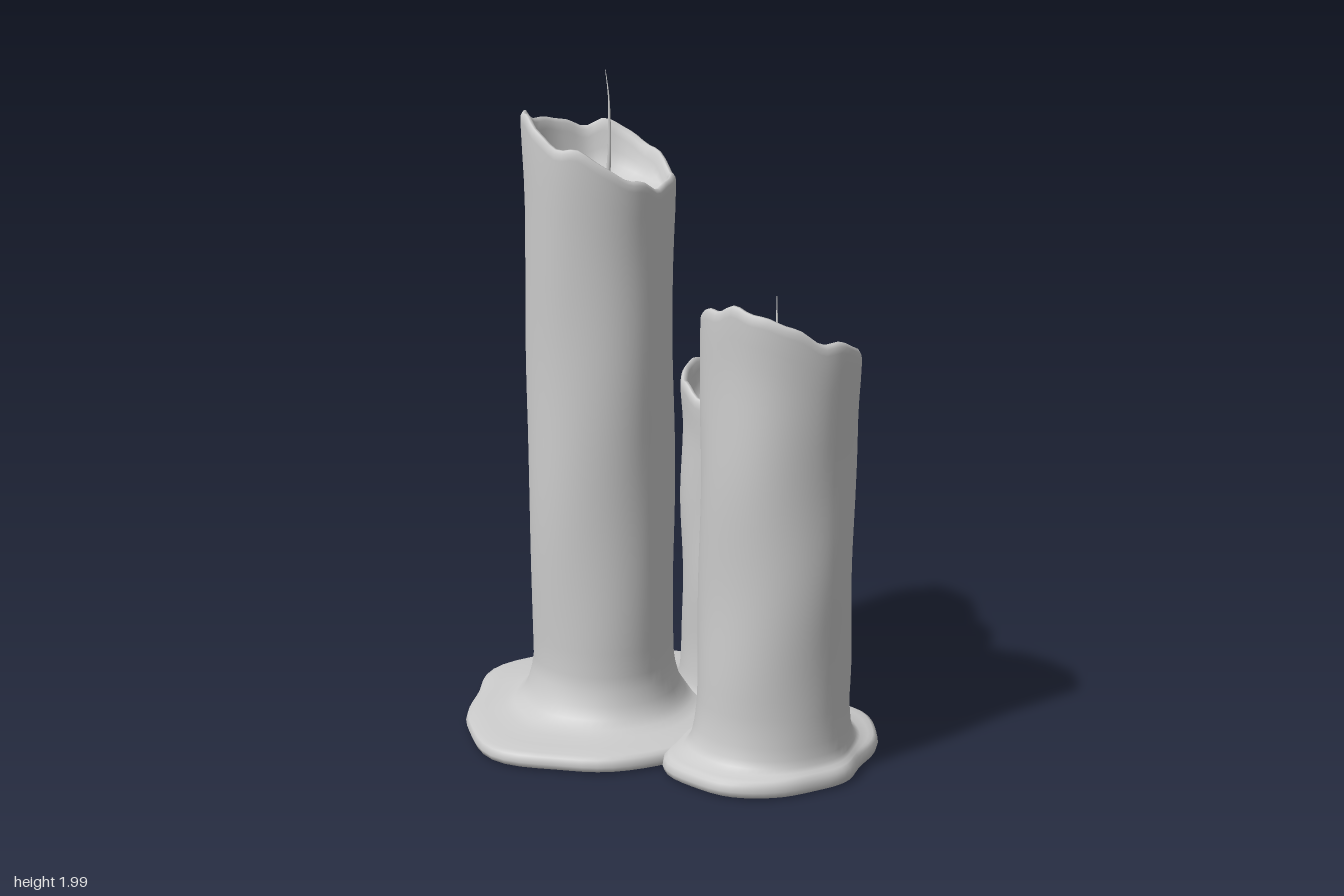
import * as THREE from 'three';

const SEG = 60;
const material = new THREE.MeshStandardMaterial({ color: 0xcccccc, side: THREE.DoubleSide });
const { lerp, smoothstep } = THREE.MathUtils;

// Smooth closed interpolation of 12 values given every 30 degrees
function around(values, angle) {
  const n = values.length;
  const t = (angle / (Math.PI * 2)) * n;
  const i = Math.floor(t), f = t - i;
  const v = k => values[(i + k + n) % n];
  return v(0) + 0.5 * f * (v(1) - v(-1) + f * (2 * v(-1) - 5 * v(0) + 4 * v(1) - v(2)
    + f * (3 * (v(0) - v(1)) + v(2) - v(-1))));
}

// Wax body: underside, puddle, flared foot, wavy wall, rolled rim and bowl as one skin of rings
function waxGeometry({ foot, top, radius, height, puddle, rim, floor, phase }) {
  const rings = [];
  const wall = (a, k) => radius * (1
    + 0.018 * Math.sin(3 * a + 5 * k + phase) * Math.sin(7 * k + phase)
    + 0.012 * Math.sin(2 * a - 9 * k + phase * 2)
    + 0.012 * Math.sin(5 * a + phase) * k);
  const edge = a => around(puddle, a) * (1 + 0.008 * Math.sin(9 * a + phase));
  const lip = a => around(rim, a) + 0.006 * Math.sin(8 * a + phase) + 0.004 * Math.sin(13 * a);

  // underside and puddle edge: [share of the puddle radius, height]
  for (const [s, y] of [[0, 0.008], [0.5, 0.008], [0.95, 0.008], [0.95, 0.008], [0.985, 0.014], [1, 0.03], [0.985, 0.05], [0.95, 0.057]])
    rings.push(a => [edge(a) * s, y]);
  // slope from puddle to foot: [blend towards the puddle edge, height]
  for (const [s, y] of [[0.7, 0.062], [0.45, 0.068], [0.3, 0.08], [0.18, 0.1], [0.09, 0.135], [0.03, 0.18]])
    rings.push(a => [lerp(wall(a, 0), edge(a), s), y]);
  // wall
  for (let i = 0; i <= 20; i++) {
    const k = i / 20;
    rings.push(a => [wall(a, k) * (1 + 0.02 * smoothstep(k, 0.85, 1)), lerp(0.22, lip(a) - 0.03, k)]);
  }
  // rolled rim: [share of the wall radius, drop below the lip]
  for (const [s, d] of [[1.015, 0.012], [0.985, 0.001], [0.95, 0], [0.915, 0.012], [0.885, 0.035]])
    rings.push(a => [wall(a, 1) * s, lip(a) - d]);
  // bowl: [share of the wall radius, share of the way down to the floor]
  for (const [s, d] of [[0.85, 0.3], [0.79, 0.55], [0.68, 0.78], [0.52, 0.92], [0.3, 0.99], [0, 1]])
    rings.push(a => [wall(a, 1) * s, lerp(lip(a) - 0.035, floor, d)]);

  const position = [], index = [];
  rings.forEach((ring, i) => {
    for (let j = 0; j < SEG; j++) {
      const a = (j / SEG) * Math.PI * 2;
      const [r, y] = ring(a);
      const k = Math.min(1, y / height);
      position.push(lerp(foot[0], top[0], k) + r * Math.cos(a), y, lerp(foot[1], top[1], k) + r * Math.sin(a));
      if (i === rings.length - 1) continue;
      const b = i * SEG + j, c = i * SEG + (j + 1) % SEG;
      index.push(b, b + SEG, c, c, b + SEG, c + SEG);
    }
  });
  const geometry = new THREE.BufferGeometry();
  geometry.setAttribute('position', new THREE.Float32BufferAttribute(position, 3));
  geometry.setIndex(index);
  geometry.computeVertexNormals();
  return geometry;
}

// Wick: a tube that tapers towards its tip
function wickGeometry(points) {
  const curve = new THREE.CatmullRomCurve3(points.map(p => new THREE.Vector3(...p)));
  const rows = 16, sides = 8;
  const geometry = new THREE.TubeGeometry(curve, rows, 0.008, sides);
  const pos = geometry.attributes.position, v = new THREE.Vector3();
  for (let i = 0; i < pos.count; i++) {
    const t = Math.floor(i / (sides + 1)) / rows;
    v.fromBufferAttribute(pos, i).lerp(curve.getPointAt(t), 0.9 * t);
    pos.setXYZ(i, v.x, v.y, v.z);
  }
  geometry.computeVertexNormals();
  return geometry;
}

const candles = [
  {
    name: 'tallCandle', foot: [-0.197, 0.13], top: [-0.183, 0.15], radius: 0.218, height: 1.8, floor: 1.64, phase: 0.4,
    puddle: [0.42, 0.435, 0.44, 0.475, 0.435, 0.42, 0.478, 0.455, 0.48, 0.51, 0.43, 0.41],
    rim: [1.685, 1.73, 1.79, 1.82, 1.885, 1.87, 1.85, 1.83, 1.83, 1.77, 1.71, 1.69],
    wick: [[-0.165, 1.63, 0.135], [-0.158, 1.75, 0.13], [-0.16, 1.84, 0.125], [-0.168, 1.93, 0.12], [-0.185, 2, 0.115]],
  },
  {
    name: 'middleCandle', foot: [0.39, 0.02], top: [0.412, 0.02], radius: 0.222, height: 1.3, floor: 1.17, phase: 2.1,
    puddle: [0.275, 0.27, 0.3, 0.32, 0.335, 0.28, 0.285, 0.31, 0.36, 0.39, 0.34, 0.275],
    rim: [1.3, 1.33, 1.385, 1.4, 1.38, 1.34, 1.3, 1.26, 1.23, 1.21, 1.23, 1.26],
    wick: [[0.385, 1.16, 0.01], [0.39, 1.24, 0.015], [0.382, 1.32, 0.01], [0.368, 1.395, -0.005]],
  },
  {
    name: 'shortCandle', foot: [0.035, -0.3], top: [0.045, -0.283], radius: 0.22, height: 1.05, floor: 0.95, phase: 4,
    puddle: [0.27, 0.27, 0.27, 0.27, 0.27, 0.265, 0.265, 0.27, 0.285, 0.315, 0.315, 0.305],
    rim: [0.995, 0.99, 1, 1.02, 1.05, 1.08, 1.09, 1.085, 1.065, 1.035, 1.02, 1.005],
    wick: [[0.03, 0.94, -0.29], [0.025, 1.02, -0.285], [0.03, 1.1, -0.275], [0.05, 1.165, -0.265]],
  },
];

export function createModel() {
  const model = new THREE.Group();
  model.name = 'candleCluster';
  for (const spec of candles) {
    const candle = new THREE.Group();
    candle.name = spec.name;
    const wax = new THREE.Mesh(waxGeometry(spec), material);
    wax.name = 'wax';
    const wick = new THREE.Mesh(wickGeometry(spec.wick), material);
    wick.name = 'wick';
    candle.add(wax, wick);
    model.add(candle);
  }
  return model;
}
